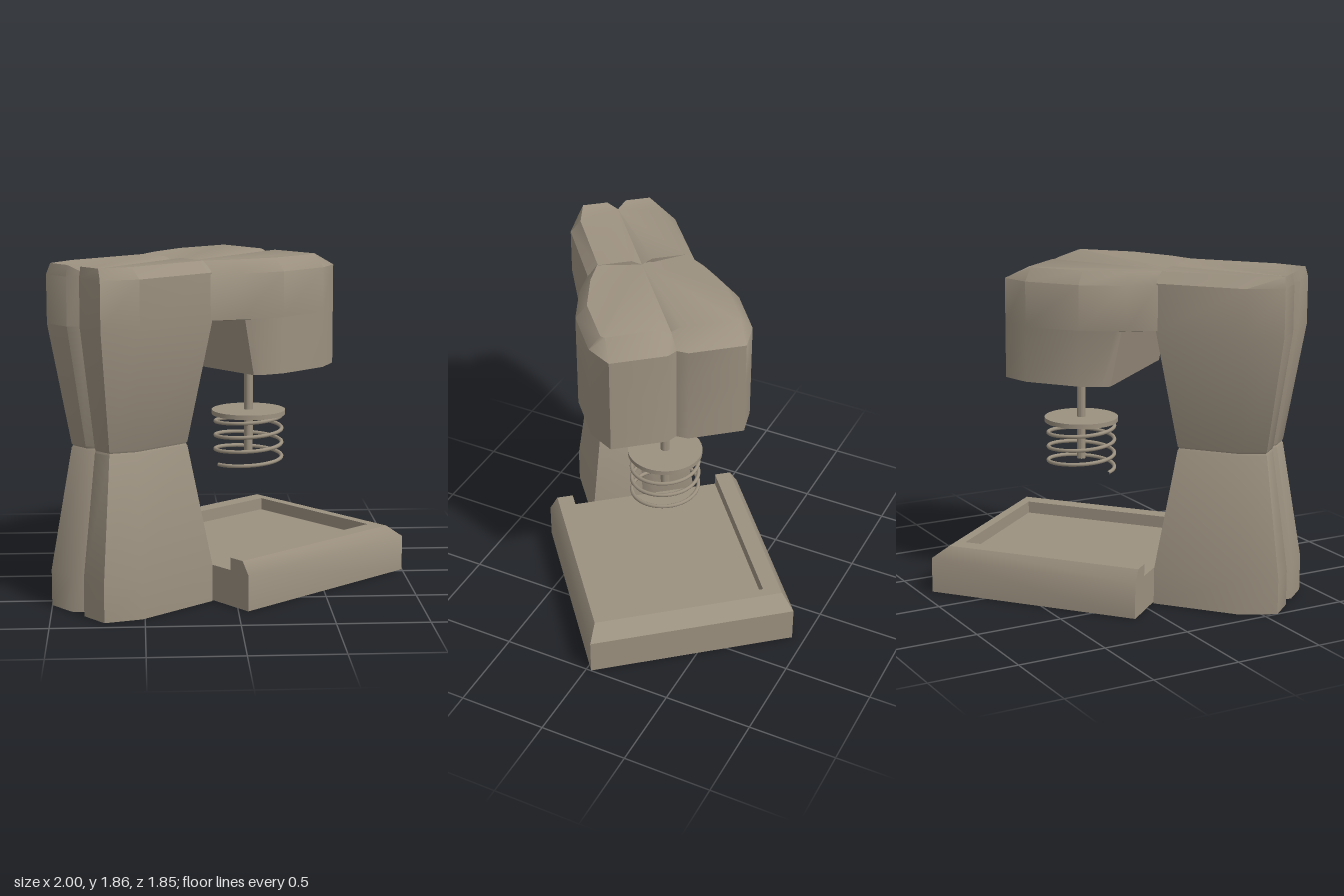
import * as THREE from 'three';
import { toCreasedNormals } from 'three/addons/utils/BufferGeometryUtils.js';

const stone = new THREE.MeshStandardMaterial({ color: 0x9c9180 });
stone.name = 'warm grey';

// Joins closed cross-sections of equal point count and caps both ends.
function loft(rings, crease = 0.75) {
  const n = rings[0].length, index = [];
  for (let k = 0; k < rings.length - 1; k++) {
    for (let i = 0; i < n; i++) {
      const a = k * n + i, b = k * n + (i + 1) % n;
      index.push(a, b, b + n, a, b + n, a + n);
    }
  }
  const last = (rings.length - 1) * n;
  for (let i = 1; i < n - 1; i++) {
    index.push(0, i + 1, i, last, last + i, last + i + 1);
  }
  const geo = new THREE.BufferGeometry();
  geo.setAttribute('position', new THREE.Float32BufferAttribute(rings.flat(2), 3));
  geo.setIndex(index);
  return toCreasedNormals(geo, crease);
}

// Mirrors half an outline (first and last points on the centre line) at height y;
// the centre line may sit lower to form a groove.
function outline(half, y, dip = 0) {
  const mirrored = half.slice(1, -1).reverse().map(([x, z]) => [x, -z]);
  return [...half, ...mirrored].map(([x, z]) => [x, z === 0 ? y - dip : y, z]);
}

export function createModel() {
  const model = new THREE.Group();
  const body = new THREE.Group();
  body.name = 'mixer';
  body.rotation.y = 0.693;
  model.add(body);
  const offset = 0.03; // centre line of the machine

  const add = (name, geo, x = 0, y = 0, z = 0) => {
    const mesh = new THREE.Mesh(geo, stone);
    mesh.name = name;
    mesh.position.set(x, y, z + offset);
    body.add(mesh);
    return mesh;
  };

  // Column, pinched at the waist
  const foot = [[-1.09, 0], [-1.14, 0.055], [-1.14, 0.225], [-0.95, 0.31],
    [-0.45, 0.31], [-0.45, 0.06], [-0.5, 0]];
  const scaled = (s) => foot.map(([x, z]) => [-0.795 + (x + 0.795) * s, z * s]);
  add('lowerColumn', loft([
    outline(foot, 0), outline(foot, 0.2), outline(scaled(0.71), 0.87), outline(scaled(0.69), 0.882),
  ]));
  const columnTop = [[-1.09, 0], [-1.13, 0.055], [-1.13, 0.2], [-0.95, 0.25],
    [-0.45, 0.25], [-0.45, 0.06], [-0.45, 0]];
  add('upperColumn', loft([
    outline(scaled(0.69), 0.88), outline(scaled(0.71), 0.892), outline(foot, 1.54),
    outline(foot, 1.8), outline(columnTop, 1.86, 0.03),
  ]));

  // Head, overhanging the base
  const front = [[-0.06, 0.455], [0.255, 0.445], [0.41, 0.37], [0.41, 0.055], [0.375, 0]];
  const headRear = [[-0.46, 0], [-0.46, 0.31], [-0.31, 0.385]];
  const headTop = [[-0.46, 0], [-0.46, 0.25], [-0.31, 0.32], [-0.06, 0.39], [0.25, 0.38],
    [0.27, 0.36], [0.26, 0.055], [0.25, 0]];
  add('head', loft([
    outline([[-0.22, 0], [-0.22, 0.39], [-0.18, 0.42], ...front], 1.235),
    outline([[-0.28, 0], [-0.28, 0.385], [-0.25, 0.4], ...front], 1.54),
    outline([...headRear, ...front], 1.545),
    outline([...headRear, ...front], 1.79),
    outline(headTop, 1.86, 0.03),
  ]));

  // Base tray with a raised rim on three sides
  add('trayFloor', new THREE.BoxGeometry(1.2, 0.2, 1.1), 0.16, 0.1, 0);
  const insetEnd = [0, 0.145, 0.145, 0.09, 0];
  const insetSide = [0, 0.14, 0.14, 0.045, 0];
  const heights = [0, 0, 0.27, 0.27, 0.2];
  const station = (atEnd, side) => heights.map((y, j) => [
    atEnd ? 0.787 - insetEnd[j] : -0.442, y, side * (0.585 - insetSide[j]),
  ]);
  add('trayRim', loft([station(false, 1), station(true, 1), station(true, -1), station(false, -1)], 0.6));

  // Drive shaft with its collar and disc
  const axis = 0.11;
  const disc = (name, r, y0, y1) =>
    add(name, toCreasedNormals(new THREE.CylinderGeometry(r, r, y1 - y0, 40), 0.6), axis, (y0 + y1) / 2, 0);
  disc('collar', 0.1, 1.215, 1.24);
  disc('shaft', 0.025, 0.71, 1.24);
  disc('whiskDisc', 0.21, 0.93, 0.956);

  // Coil whisk
  const turns = 3.5, points = [];
  for (let i = 0; i <= 84; i++) {
    const t = i / 84, a = 2.87 + t * turns * Math.PI * 2;
    points.push(new THREE.Vector3(Math.cos(a) * 0.19, 0.65 + t * 0.285, -Math.sin(a) * 0.19));
  }
  add('coilWhisk', new THREE.TubeGeometry(new THREE.CatmullRomCurve3(points), 220, 0.011, 8), axis, 0, 0);

  return model;
}
